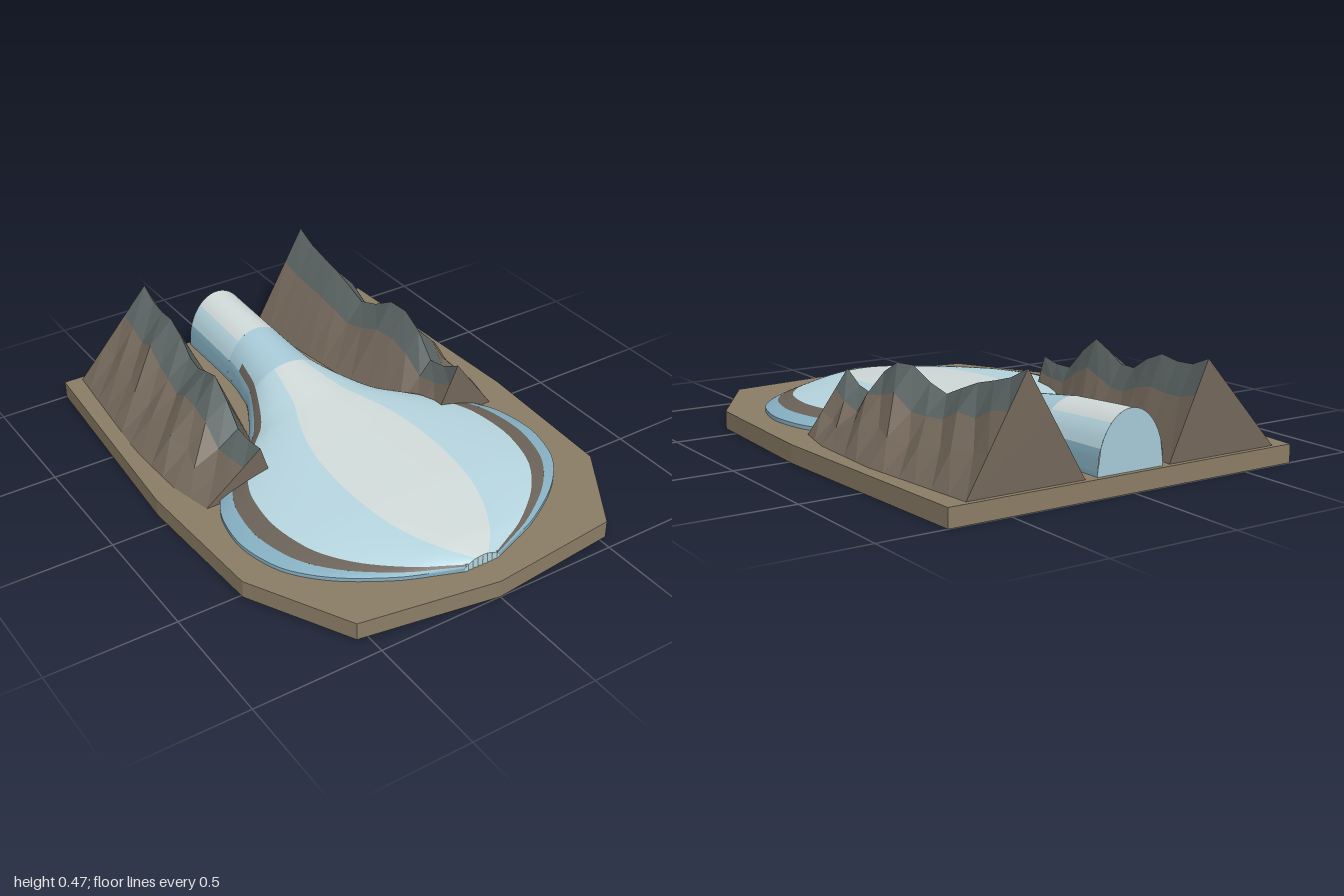
import * as THREE from 'three';

const BASE = 0.07, LIP = 0.015;

// Piecewise-linear lookup in a list of [z, value] pairs
function look(table, z) {
  let i = 1;
  while (i < table.length - 1 && table[i][0] < z) i++;
  const [a, va] = table[i - 1], [b, vb] = table[i];
  const t = THREE.MathUtils.clamp((z - a) / (b - a), 0, 1);
  return va + (vb - va) * t;
}

const range = (a, b, n) => Array.from({ length: n + 1 }, (_, i) => a + (b - a) * i / n);

function paint(color, flat) {
  return new THREE.MeshStandardMaterial({ color, flatShading: flat, side: THREE.DoubleSide });
}

// Sheet through rows of [x, y, z]; rows advance in +z, points in +x
function sheet(name, rows, color, flat = false) {
  const n = rows[0].length, index = [];
  for (let r = 0; r < rows.length - 1; r++) {
    for (let c = 0; c < n - 1; c++) {
      const a = r * n + c, b = a + n;
      index.push(a, b, a + 1, a + 1, b, b + 1);
    }
  }
  const g = new THREE.BufferGeometry();
  g.setAttribute('position', new THREE.Float32BufferAttribute(rows.flat(2), 3));
  g.setIndex(index);
  g.computeVertexNormals();
  const m = new THREE.Mesh(g, paint(color, flat));
  m.name = name;
  return m;
}

// Upright wall filling a cross-section profile down to the ground
function endWall(name, pts, z, color) {
  const shape = new THREE.Shape(pts.map(([x, y]) => new THREE.Vector2(x, y)));
  const m = new THREE.Mesh(new THREE.ShapeGeometry(shape), paint(color, true));
  m.position.z = z;
  m.name = name;
  return m;
}

// Ground slab with an irregular outline
function createSlab() {
  const outline = [[-0.72, -1], [0.74, -1], [0.78, -0.02], [0.75, 0.6], [0.53, 0.945],
    [0, 1], [-0.54, 0.91], [-0.75, 0.51], [-0.78, -0.07]];
  const shape = new THREE.Shape(outline.map(([x, z]) => new THREE.Vector2(x, -z)));
  const g = new THREE.ExtrudeGeometry(shape, { depth: BASE, bevelEnabled: false });
  g.rotateX(-Math.PI / 2);
  const m = new THREE.Mesh(g, paint(0x8b7d66, true));
  m.name = 'groundSlab';
  return m;
}

// Glacier surface: half width, crest height and roundness vary along z
const widthCurve = new THREE.SplineCurve([[-0.98, 0.14], [-0.65, 0.145], [-0.5, 0.165], [-0.4, 0.195],
  [-0.2, 0.31], [-0.1, 0.42], [0, 0.53], [0.1, 0.605], [0.2, 0.645], [0.35, 0.66], [0.5, 0.625],
  [0.6, 0.565], [0.7, 0.46], [0.8, 0.3], [0.85, 0.18], [0.89, 0.075]].map(p => new THREE.Vector2(...p)));
const WIDTH = widthCurve.getPoints(150).map(p => [p.x, p.y]);
const CREST = [[-0.98, 0.29], [-0.65, 0.27], [-0.4, 0.235], [-0.15, 0.205], [0.08, 0.187],
  [0.5, 0.16], [0.8, 0.13], [0.89, 0.112]];
const ROUND = [[-0.98, 0.5], [-0.6, 0.5], [0, 0.85], [0.89, 0.85]];

function icePoint(u, z) {
  const rise = look(CREST, z) - BASE - LIP;
  const y = BASE + LIP + rise * Math.pow(Math.max(0, 1 - u * u), look(ROUND, z));
  return [u * look(WIDTH, z), y, z];
}

function createGlacier() {
  const group = new THREE.Group();
  group.name = 'glacier';
  const WHITE = 0xd0dad8, ICE = 0xb6d5df, PALE = 0xa6c9d6, BLUE = 0x86b0c2, MORAINE = 0x6b6258;
  const band = (name, z0, z1, u0, u1, color) => {
    const us = range(u0, u1, Math.max(3, Math.round((u1 - u0) * 16)));
    const zs = range(z0, z1, Math.ceil((z1 - z0) / 0.02));
    group.add(sheet(name, zs.map(z => us.map(u => icePoint(u, z))), color));
  };
  const both = (name, z0, z1, u0, u1, color) => {
    band(name + 'Left', z0, z1, u0, u1, color);
    band(name + 'Right', z0, z1, -u1, -u0, color);
  };
  // Upper tongue
  band('upperTongue', -0.98, -0.65, -0.6, 0.6, WHITE);
  both('upperTongueSide', -0.98, -0.65, 0.6, 0.92, ICE);
  both('upperTongueEdge', -0.98, -0.65, 0.92, 1, BLUE);
  band('icefall', -0.65, -0.4, -0.8, 0.8, PALE);
  // Spreading lobe with lengthwise colour bands
  band('lobeCentre', -0.4, 0.89, -0.34, 0.34, WHITE);
  both('lobeSide', -0.4, 0.89, 0.34, 0.8, ICE);
  // Moraine stripes start further back on the right
  for (const [side, s, start] of [['Left', 1, -0.4], ['Right', -1, -0.56]]) {
    const part = (name, z0, z1, u0, u1, color) =>
      band(name + side, z0, z1, Math.min(s * u0, s * u1), Math.max(s * u0, s * u1), color);
    part('icefallEdge', -0.65, start, 0.8, 0.91, PALE);
    part('moraine', start, 0.89, 0.8, 0.91, MORAINE);
    part('marginIce', -0.65, 0.89, 0.91, 1, BLUE);
    // Low vertical lip around the margin
    const rows = range(-0.98, 0.89, 94).map(z => {
      const x = s * look(WIDTH, z);
      const lip = [[x, BASE + LIP, z], [x, BASE, z]];
      return s > 0 ? lip : lip.reverse();
    });
    group.add(sheet('iceLip' + side, rows, BLUE));
  }
  // End walls and the ribbed snout
  for (const [name, z, color] of [['backIceWall', -0.98, PALE], ['snoutWall', 0.89, ICE]]) {
    const w = look(WIDTH, z);
    const arch = range(-1, 1, 24).map(u => icePoint(u, z));
    group.add(endWall(name, [[-w, BASE], ...arch, [w, BASE]], z, color));
  }
  for (let i = -3; i <= 3; i++) {
    const h = 0.04 - Math.abs(i) * 0.004;
    const rib = new THREE.Mesh(new THREE.CylinderGeometry(0.007, 0.009, h, 6), paint(ICE, true));
    rib.position.set(i * 0.021, BASE + h / 2, 0.885);
    rib.name = 'snoutRib';
    group.add(rib);
  }
  return group;
}

// Faceted ridge; side is +1 for left, -1 for right
function createRidge(name, side, { crest, ridge, outer, inner }) {
  const group = new THREE.Group();
  group.name = name;
  const zs = range(-0.98, 0.08, 12);
  const sections = zs.map((z, i) => {
    const top = [look(ridge, z), look(crest, z)];
    const jag = (i % 2 ? 1 : -1) * 0.012 * (i > 0 && i < 12 ? 1 : 0);
    const at = (foot, t, dx) => [side * (foot + (top[0] - foot) * t + dx), BASE + (top[1] - BASE) * t, z];
    const o = look(outer, z), n = look(inner, z);
    const pts = [at(n, 0, 0), at(n, 0.65, 0), at(n, 1, 0), at(o, 0.68 + jag * 3, jag), at(o, 0.35, -jag), at(o, 0, 0)];
    return side > 0 ? pts : pts.reverse();
  });
  const cut = (a, b) => sections.map(p => side > 0 ? p.slice(a, b + 1) : p.slice(5 - b, 6 - a));
  const ROCK = 0x73675a, CAP = 0x5a6463;
  group.add(sheet('innerFlank', cut(0, 1), ROCK, true));
  group.add(sheet('ridgeCap', cut(1, 3), CAP, true));
  group.add(sheet('outerFlank', cut(3, 5), ROCK, true));
  group.add(endWall('backFace', sections[0], zs[0], ROCK));
  group.add(endWall('frontFace', sections[12], zs[12], ROCK));
  return group;
}

export function createModel() {
  const model = new THREE.Group();
  model.name = 'valleyGlacier';
  model.add(createSlab(), createGlacier());
  model.add(createRidge('leftRidge', 1, {
    crest: [[-0.98, 0.47], [-0.88, 0.42], [-0.68, 0.37], [-0.55, 0.31], [-0.48, 0.31], [-0.4, 0.38],
      [-0.3, 0.39], [-0.2, 0.35], [-0.1, 0.235], [-0.03, 0.24], [0.08, 0.3]],
    ridge: [[-0.98, 0.425], [-0.5, 0.45], [-0.3, 0.485], [0.08, 0.49]],
    outer: [[-0.98, 0.66], [-0.45, 0.71], [-0.1, 0.7], [0.08, 0.66]],
    inner: [[-0.98, 0.19], [-0.4, 0.265], [0.08, 0.38]],
  }));
  model.add(createRidge('rightRidge', -1, {
    crest: [[-0.98, 0.42], [-0.85, 0.37], [-0.75, 0.395], [-0.68, 0.39], [-0.5, 0.29], [-0.4, 0.33],
      [-0.28, 0.38], [-0.2, 0.33], [-0.08, 0.22], [0.08, 0.25]],
    ridge: [[-0.98, 0.335], [-0.6, 0.36], [-0.3, 0.4], [0.08, 0.415]],
    outer: [[-0.98, 0.65], [-0.4, 0.7], [-0.1, 0.69], [0.08, 0.65]],
    inner: [[-0.98, 0.17], [-0.4, 0.245], [0.08, 0.36]],
  }));
  return model;
}
